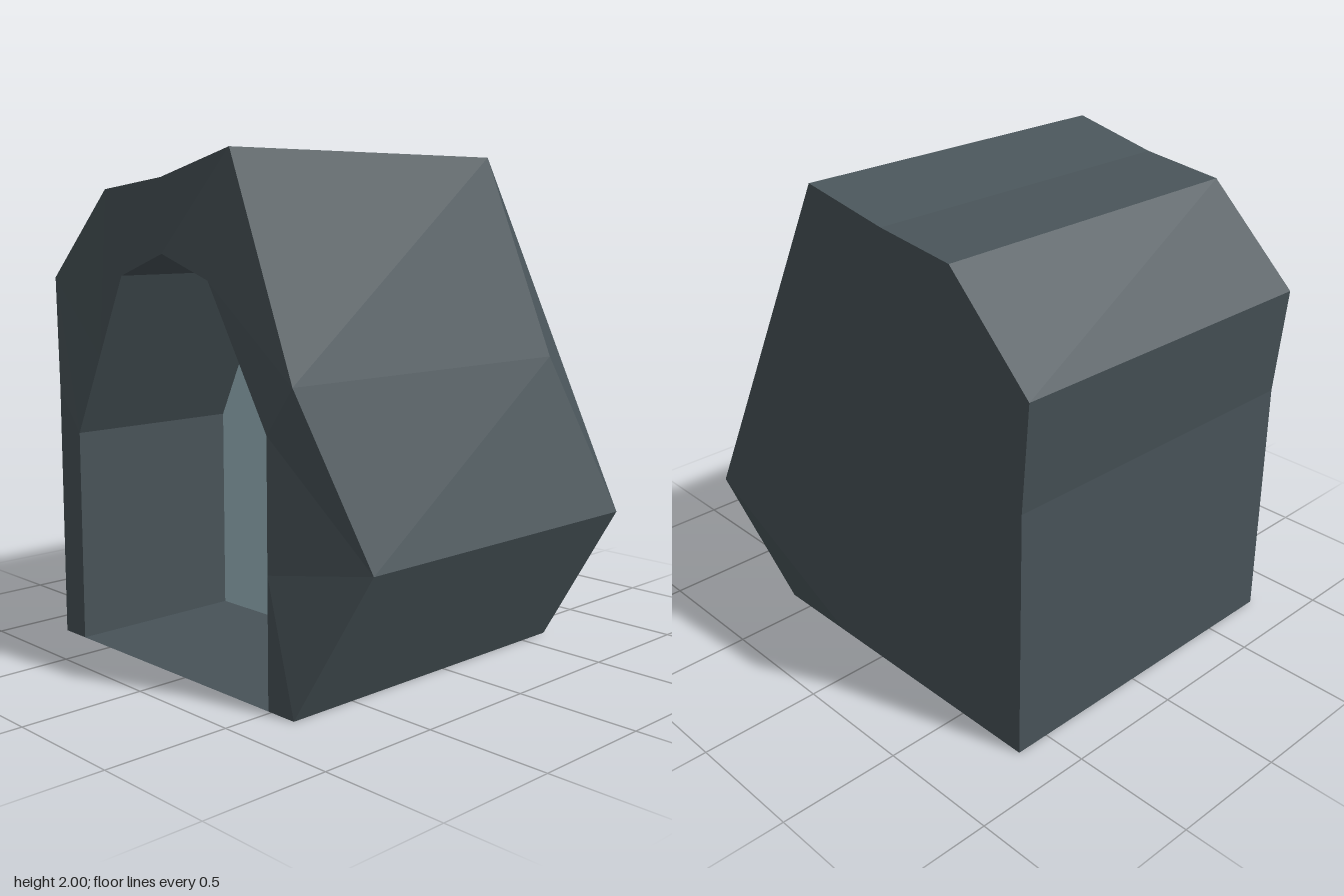
import * as THREE from 'three';

const FRONT = 0.79, DEPTH = 1.435, RECESS = 0.03;

// outer outline, clockwise from the lower left, with the front z of each corner
const OUTER = [
  [-0.815, 0, FRONT], [-0.815, 1.04, FRONT], [-0.875, 1.5, 0.76], [-0.458, 1.857, FRONT],
  [-0.1, 1.897, FRONT], [0.22, 2, 0.725], [0.62, 1.18, FRONT], [0.872, 0.545, 0.65], [0.62, 0, FRONT],
];
// arched opening, paired corner by corner with the outline
const ARCH = [
  [-0.68, 0], [-0.68, 0.87], [-0.52, 1.198], [-0.36, 1.525], [-0.1, 1.615],
  [0.17, 1.525], [0.485, 1.0], [0.485, 0.5], [0.485, 0],
];

const mix = (a, b, t) => a.map((v, k) => v + (b[k] - v) * t);

// flat-shaded mesh from four-cornered faces, each split from its second to its fourth corner
function quadMesh(name, quads, material) {
  const pos = [];
  for (const [a, b, c, d] of quads) pos.push(...a, ...b, ...d, ...b, ...c, ...d);
  const geo = new THREE.BufferGeometry();
  geo.setAttribute('position', new THREE.Float32BufferAttribute(pos, 3));
  geo.computeVertexNormals();
  const mesh = new THREE.Mesh(geo, material);
  mesh.name = name;
  return mesh;
}

export function createModel() {
  const group = new THREE.Group();
  group.name = 'rockShelter';
  // the thin floor and the panel show from both sides
  const stone = new THREE.MeshStandardMaterial({ color: 0x485358, flatShading: true, side: THREE.DoubleSide });
  const pale = new THREE.MeshStandardMaterial({ color: 0x9dbac2, flatShading: true, side: THREE.DoubleSide });

  const front = OUTER;
  const back = OUTER.map(([x, y, z]) => [x, y, z - DEPTH]);
  const mouth = ARCH.map(([x, y]) => [x, y, FRONT]);
  const inner = ARCH.map(([x, y]) => [x, y, RECESS]);

  const shell = [], rim = [], walls = [];
  for (let i = 0; i < OUTER.length - 1; i++) {
    const j = i + 1;
    shell.push([front[i], front[j], back[j], back[i]]);
    rim.push([front[i], mouth[i], mouth[j], front[j]]);
    walls.push([mouth[i], inner[i], inner[j], mouth[j]]);
  }

  // one slab serves as underside and recess floor
  const floor = [[front[8], front[0], back[0], back[8]]];

  // back wall: columns joining the base, a middle row and the top outline
  const top = back.slice(2, 7);
  const base = top.map((_, i) => mix(back[0], back[8], i / 4));
  const middle = top.map((p, i) => mix(base[i], p, 0.5));
  middle[0] = back[1];
  middle[4] = back[7];
  const rear = [];
  for (let i = 0; i < 4; i++) {
    rear.push([middle[i], middle[i + 1], base[i + 1], base[i]]);
    rear.push([middle[i], top[i], top[i + 1], middle[i + 1]]);
  }

  group.add(
    quadMesh('outerShell', shell, stone),
    quadMesh('frontRim', rim, stone),
    quadMesh('recessWalls', walls, stone),
    quadMesh('floor', floor, stone),
    quadMesh('backWall', rear, stone),
  );

  // pale panel closing the recess
  const shape = new THREE.Shape(ARCH.map(([x, y]) => new THREE.Vector2(x, y)));
  const panel = new THREE.Mesh(new THREE.ShapeGeometry(shape), pale);
  panel.name = 'recessPanel';
  panel.position.z = RECESS;
  group.add(panel);
  return group;
}
